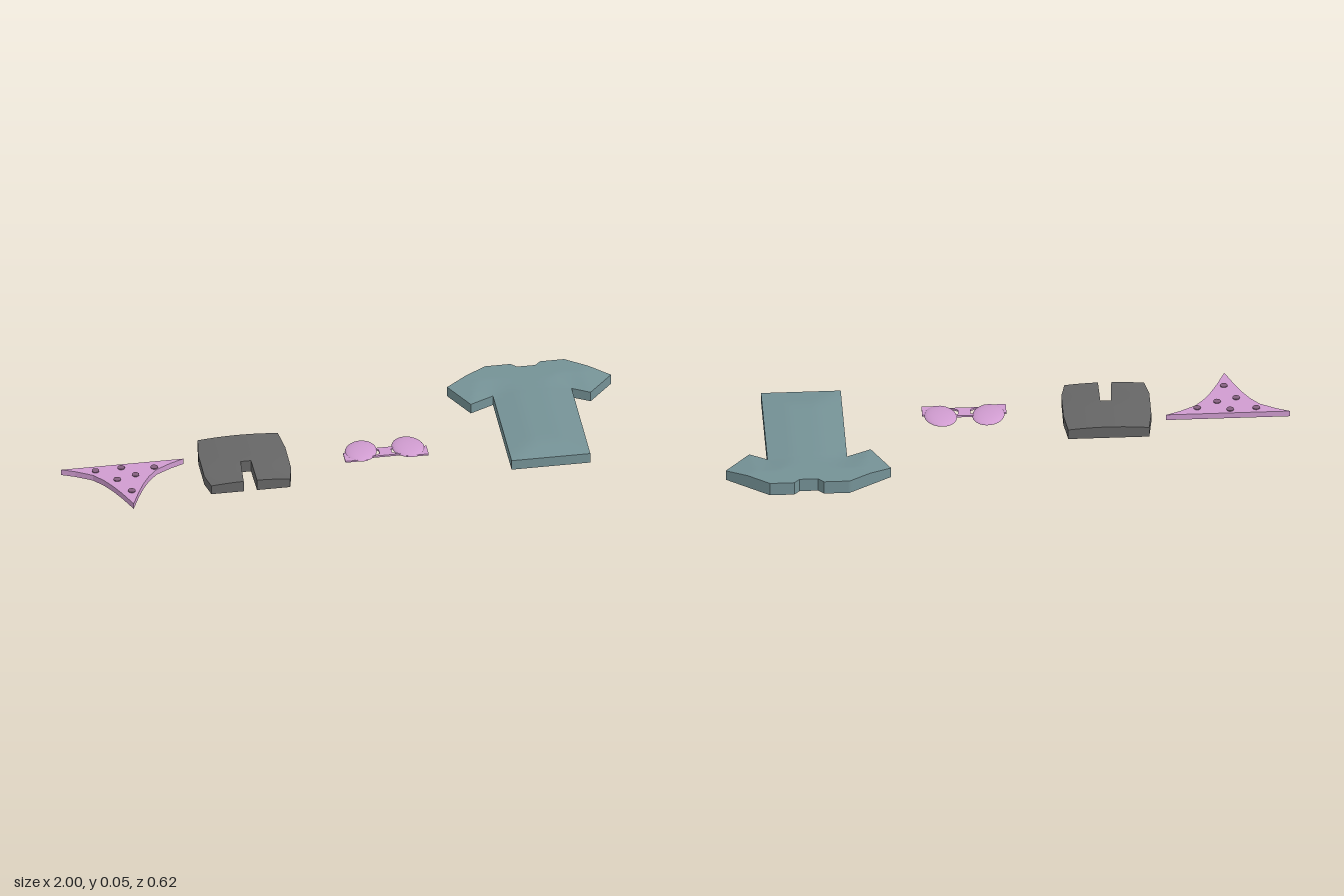
import * as THREE from 'three';
import { toCreasedNormals, mergeGeometries } from 'three/addons/utils/BufferGeometryUtils.js';

const pink = new THREE.MeshStandardMaterial({ color: 0xd09cd0 });
const plum = new THREE.MeshStandardMaterial({ color: 0x85607f });
const charcoal = new THREE.MeshStandardMaterial({ color: 0x666666 });
const teal = new THREE.MeshStandardMaterial({ color: 0x759296 });

function mesh(name, geometry, material) {
  const m = new THREE.Mesh(geometry, material);
  m.name = name;
  return m;
}

// Flat slab lying on the ground, cut from an outline of [x, z] points
function slab(outline, bottom, top) {
  const shape = new THREE.Shape(outline.map(([x, z]) => new THREE.Vector2(x, -z)));
  const g = new THREE.ExtrudeGeometry(shape, { depth: top - bottom, bevelEnabled: false });
  return g.rotateX(-Math.PI / 2).translate(0, bottom, 0);
}

// Splits every triangle into four, a number of times
function subdivide(geometry, times) {
  const p = geometry.toNonIndexed().getAttribute('position');
  let tris = [];
  for (let i = 0; i < p.count; i += 3) {
    tris.push([0, 1, 2].map(k => new THREE.Vector3().fromBufferAttribute(p, i + k)));
  }
  for (let t = 0; t < times; t++) {
    tris = tris.flatMap(([a, b, c]) => {
      const [ab, bc, ca] = [[a, b], [b, c], [c, a]].map(([u, v]) => u.clone().add(v).multiplyScalar(0.5));
      return [[a, ab, ca], [ab, b, bc], [ca, bc, c], [ab, bc, ca]];
    });
  }
  return new THREE.BufferGeometry().setFromPoints(tris.flat());
}

// Slab whose upper face follows a height rule
function paddedSlab(outline, bottom, height) {
  const source = slab(outline, bottom, 1);
  source.deleteAttribute('uv');
  const g = subdivide(source, 4);
  const p = g.getAttribute('position');
  for (let i = 0; i < p.count; i++) {
    const s = (p.getY(i) - bottom) / (1 - bottom);
    p.setY(i, bottom + s * (height(p.getX(i), p.getZ(i)) - bottom));
  }
  return toCreasedNormals(g, 0.6);
}

function edgeDistance(x, z, [ax, az], [bx, bz]) {
  const dx = bx - ax, dz = bz - az;
  const t = THREE.MathUtils.clamp(((x - ax) * dx + (z - az) * dz) / (dx * dx + dz * dz), 0, 1);
  return Math.hypot(x - ax - t * dx, z - az - t * dz);
}

function createShirt() {
  const outline = [
    [0.57, -0.315], [0.66, -0.315], [0.68, -0.295], [0.745, -0.295], [0.765, -0.315], [0.85, -0.315],
    [1.0, -0.21], [0.912, -0.113], [0.85, -0.148], [0.85, 0.265],
    [0.57, 0.265], [0.57, -0.145], [0.485, -0.105], [0.42, -0.225],
  ];
  // Edges 6 to 12 are the cuffs, sides and hem, where the cloth thins
  const soft = [6, 7, 8, 9, 10, 11, 12].map(i => [outline[i], outline[i + 1]]);
  const height = (x, z) => {
    const d = Math.min(...soft.map(([a, b]) => edgeDistance(x, z, a, b)));
    return 0.038 + 0.012 * Math.min(1, d / 0.09);
  };
  return mesh('shirt', paddedSlab(outline, 0, height), teal);
}

function createShorts() {
  const outline = [
    [-0.498, -0.03], [-0.213, -0.03], [-0.201, 0.06], [-0.201, 0.19], [-0.215, 0.254], [-0.333, 0.254],
    [-0.335, 0.135], [-0.372, 0.135], [-0.38, 0.254], [-0.495, 0.254], [-0.51, 0.19], [-0.51, 0.06],
  ];
  const height = (x, z) => {
    const u = (x + 0.355) / 0.155;
    return 0.041 + 0.009 * (1 - u * u) - 0.004 * THREE.MathUtils.smoothstep(z, 0.1, 0.25);
  };
  return mesh('shorts', paddedSlab(outline, 0.004, height), charcoal);
}

function createBriefs() {
  const group = new THREE.Group();
  group.name = 'briefs';
  const side = [[0.218, 0.06], [0.17, 0.08], [0.113, 0.112], [0.08, 0.15], [0.055, 0.19], [0.03, 0.24]];
  const outline = [
    ...side.map(([x, z]) => [-0.78 + x, z]), [-0.78, 0.31],
    ...side.slice().reverse().map(([x, z]) => [-0.78 - x, z]),
  ];
  group.add(mesh('briefsCloth', slab(outline, 0.01, 0.032), pink));
  // Polka dots
  const dots = [[-0.88, 0.087], [-0.788, 0.082], [-0.673, 0.097], [-0.745, 0.133], [-0.813, 0.152], [-0.774, 0.23]];
  for (const [x, z] of dots) {
    const dot = mesh('dot', new THREE.CylinderGeometry(0.013, 0.013, 0.004, 16), plum);
    dot.position.set(x, 0.033, z);
    group.add(dot);
  }
  return group;
}

function createBra() {
  const group = new THREE.Group();
  group.name = 'bra';
  const centre = 0.144;
  for (const s of [-1, 1]) {
    // Rounded cup with a flat underside
    const dome = new THREE.SphereGeometry(1, 28, 10, 0, Math.PI * 2, 0, Math.PI / 2);
    const base = new THREE.CircleGeometry(1, 28).rotateX(Math.PI / 2);
    const cup = mesh('cup', mergeGeometries([dome, base]), pink);
    cup.scale.set(0.056, 0.014, 0.065);
    cup.rotation.y = s * 0.35;
    cup.position.set(centre + s * 0.084, 0.025, 0.104);
    group.add(cup);
    // Short band under the outer side of the cup
    const band = [[0.148, 0.11], [0.148, 0.163], [0.07, 0.163], [0.07, 0.125]].map(([x, z]) => [centre + s * x, z]);
    group.add(mesh('band', slab(band, 0.023, 0.029), pink));
  }
  // Bridge between the cups, narrowest in the middle
  const half = [[0.05, 0.098], [0.022, 0.11], [0.022, 0.134], [0.05, 0.148]];
  const bridge = [...half.map(([x, z]) => [centre + x, z]), ...half.slice().reverse().map(([x, z]) => [centre - x, z])];
  group.add(mesh('bridge', slab(bridge, 0.023, 0.03), pink));
  return group;
}

export function createModel() {
  const model = new THREE.Group();
  model.name = 'clothes';
  model.add(createBriefs(), createShorts(), createBra(), createShirt());
  return model;
}
